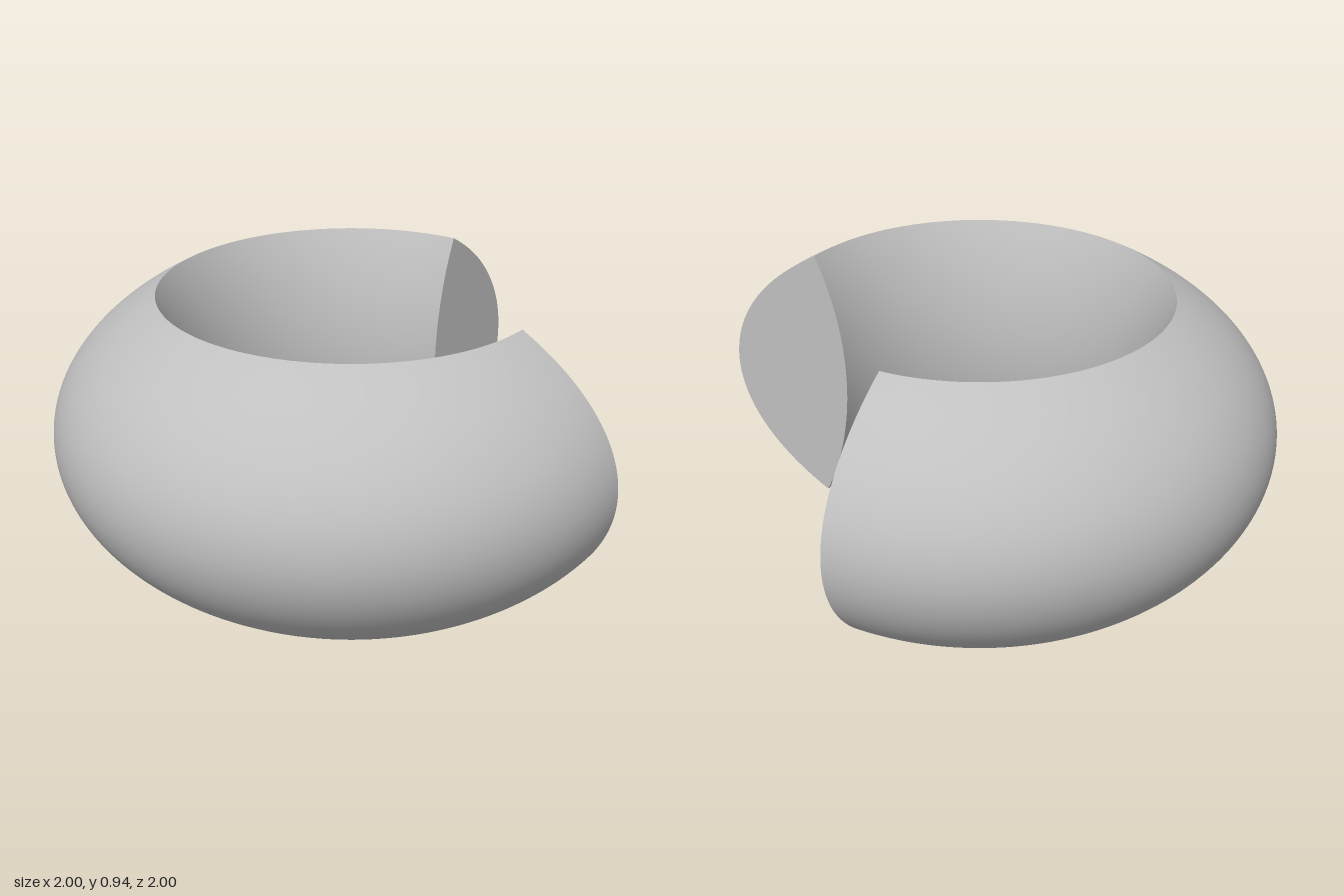
import * as THREE from 'three';

const HEIGHT = 0.94, RIM = 0.64;
const START = Math.PI / 2, SWEEP = Math.PI * 1.5;

const v = (x, y) => new THREE.Vector2(x, y);

export function createModel() {
  const group = new THREE.Group();
  group.name = 'cutRing';
  const grey = new THREE.MeshStandardMaterial({ color: 0xc0c0c0 });
  grey.name = 'plain grey';

  const add = (name, geometry) => {
    const mesh = new THREE.Mesh(geometry, grey);
    mesh.name = name;
    group.add(mesh);
    return mesh;
  };

  // Bulging outer profile, bottom rim to top rim
  const outer = new THREE.CubicBezierCurve(
    v(RIM, 0), v(1.12, 0.26), v(1.12, HEIGHT - 0.26), v(RIM, HEIGHT)
  ).getPoints(48);

  // Shallow circular arc of the hole, top rim to bottom rim
  const throat = 0.533, half = HEIGHT / 2, sag = RIM - throat;
  const radius = (half * half + sag * sag) / (2 * sag);
  const angle = Math.asin(half / radius);
  const inner = [];
  for (let i = 0; i <= 32; i++) {
    const a = angle * (1 - i / 16);
    inner.push(v(throat + radius * (1 - Math.cos(a)), half + radius * Math.sin(a)));
  }

  // Three-quarter turn, open at the front left
  add('outerWall', new THREE.LatheGeometry(outer, 144, START, SWEEP));
  add('innerWall', new THREE.LatheGeometry(inner, 144, START, SWEEP));

  // Flat cut faces closing both ends
  const profile = [...outer, ...inner.slice(1, -1)];
  add('leftCutFace', new THREE.ShapeGeometry(new THREE.Shape(profile)));
  const mirrored = profile.map((p) => v(-p.x, p.y)).reverse();
  add('frontCutFace', new THREE.ShapeGeometry(new THREE.Shape(mirrored))).rotation.y = Math.PI / 2;

  return group;
}
